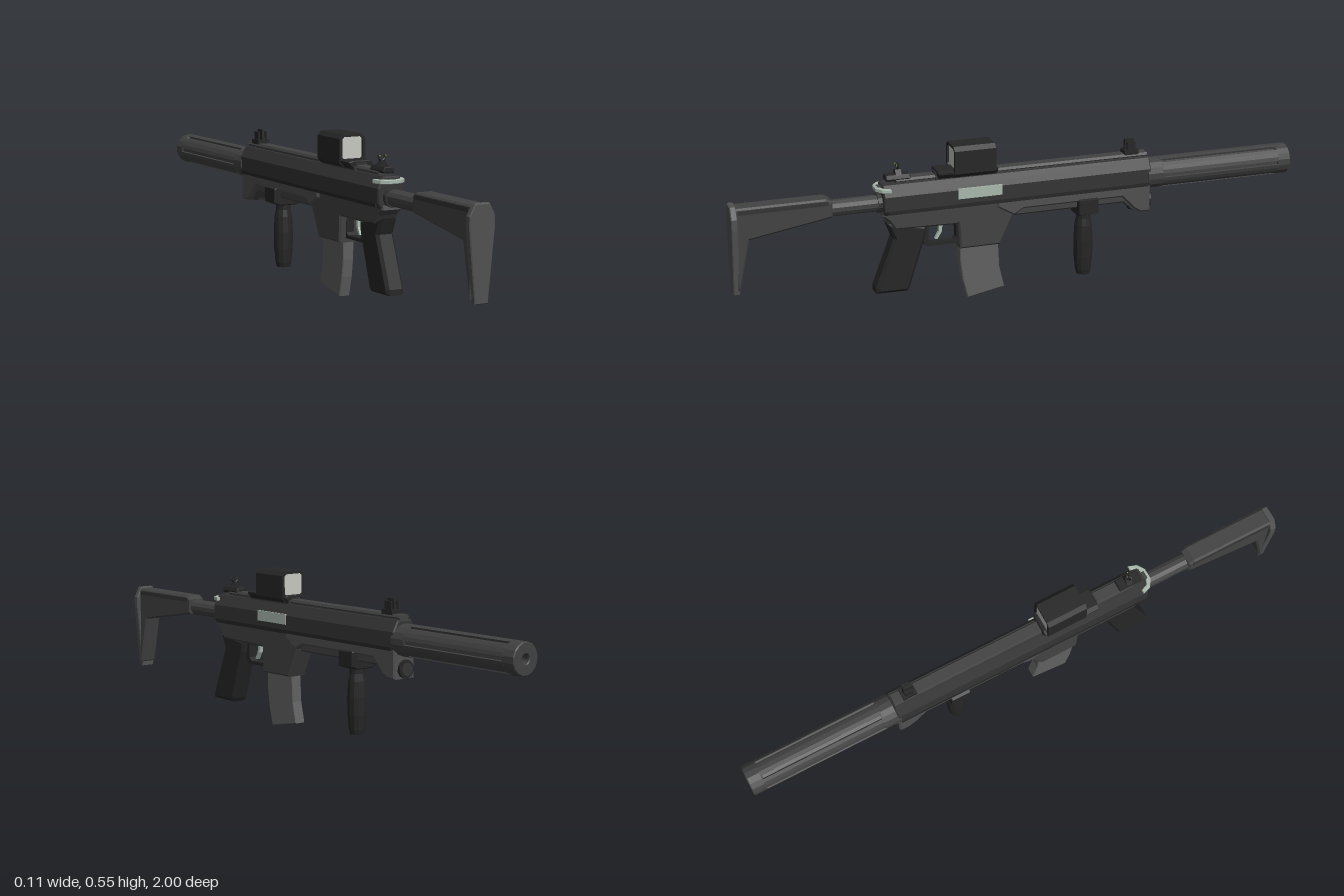
import * as THREE from 'three';

const mats = {};
const mat = (color) => (mats[color] ??= new THREE.MeshStandardMaterial({ color, flatShading: true, side: THREE.DoubleSide }));
const BLACK = 0x262626, DARK = 0x343434, MID = 0x424242, GREY = 0x505050, MAG = 0x606060, STEEL = 0xa9b8ad, LENS = 0xc6c8c0;

export function createModel() {
  const root = new THREE.Group();

  const add = (name, geo, color, parent = root) => {
    const m = new THREE.Mesh(geo, mat(color));
    m.name = name;
    parent.add(m);
    return m;
  };
  const shapeOf = (pts) => new THREE.Shape(pts.map(([a, b]) => new THREE.Vector2(a, b)));
  const extrude = (shape, depth, bevel) => new THREE.ExtrudeGeometry(shape, {
    depth: depth - 2 * bevel, bevelEnabled: bevel > 0, bevelSize: bevel,
    bevelThickness: bevel, bevelOffset: -bevel, bevelSegments: 1,
  }).translate(0, 0, bevel);
  // side outline [z, y], given a symmetric width across x
  const profile = (name, pts, half, bevel, color, holes = []) => {
    const s = shapeOf(pts);
    holes.forEach((h) => s.holes.push(shapeOf(h)));
    return add(name, extrude(s, half * 2, bevel).translate(0, 0, -half).rotateY(-Math.PI / 2), color);
  };
  // right half of a cross-section [x, y], mirrored and run from z0 to z1
  const section = (name, halfPts, z0, z1, color, bevel = 0) => {
    const pts = [...halfPts, ...halfPts.slice().reverse().map(([x, y]) => [-x, y])];
    return add(name, extrude(shapeOf(pts), z1 - z0, bevel).translate(0, 0, z0), color);
  };
  const box = (name, x, y, z, w, h, d, color) => add(name, new THREE.BoxGeometry(w, h, d).translate(x, y, z), color);
  const rod = (name, r, y, z0, z1, color, n = 12) => add(name,
    new THREE.CylinderGeometry(r, r, z1 - z0, n).rotateY(Math.PI / n).rotateX(Math.PI / 2).translate(0, y, (z0 + z1) / 2), color);

  // long barrel cover: two plain ends with a bore in front, fluted middle
  const ring = (r, n, hole) => {
    const s = new THREE.Shape();
    for (let i = 0; i < n; i++) {
      const a = ((i + 0.5) / n) * Math.PI * 2;
      s[i ? 'lineTo' : 'moveTo'](Math.cos(a) * r, Math.sin(a) * r);
    }
    if (hole) s.holes.push(new THREE.Path().absarc(0, 0, hole, 0, Math.PI * 2, true));
    return s;
  };
  const R = 0.054, CY = 0.377;
  add('barrelCoverFront', extrude(ring(R, 16, 0.016), 0.05, 0.003).translate(0, CY, -1), MID);
  add('barrelCoverRear', extrude(ring(R, 16), 0.06, 0).translate(0, CY, -0.515), MID);
  const flutes = [];
  for (let i = 0; i < 6; i++) {
    const a = (i * Math.PI) / 3;
    for (const [d, r] of [[-0.38, R], [-0.14, R], [-0.12, R - 0.007], [0.12, R - 0.007], [0.14, R], [0.38, R]])
      flutes.push([Math.cos(a + d) * r, Math.sin(a + d) * r]);
  }
  add('barrelCoverFlutes', extrude(shapeOf(flutes), 0.445, 0).translate(0, CY, -0.955), MID);
  rod('bore', 0.016, CY, -0.96, -0.95, BLACK);

  // upper body and top rail
  section('upperBody', [[0.04, 0.34], [0.05, 0.355], [0.05, 0.405], [0.03, 0.442]], -0.465, 0.49, DARK, 0.004);
  section('topRail', [[0.018, 0.438], [0.018, 0.446], [0.023, 0.45], [0.018, 0.458]], -0.46, 0.44, MID);
  for (const s of [1, -1]) box('sideRidge', s * 0.049, 0.35, 0.01, 0.006, 0.012, 0.93, BLACK);
  box('ejectionPort', 0.047, 0.392, 0.157, 0.012, 0.036, 0.155, STEEL);

  // charging handle
  add('chargingHandle', extrude((() => {
    const s = new THREE.Shape();
    s.moveTo(-0.056, 0.465);
    s.lineTo(-0.045, 0.495);
    s.lineTo(-0.02, 0.512);
    s.lineTo(0.02, 0.512);
    s.lineTo(0.045, 0.495);
    s.lineTo(0.056, 0.465);
    s.lineTo(0.042, 0.465);
    s.lineTo(0.034, 0.485);
    s.lineTo(0.015, 0.496);
    s.lineTo(-0.015, 0.496);
    s.lineTo(-0.034, 0.485);
    s.lineTo(-0.042, 0.465);
    return s;
  })(), 0.014, 0.002).rotateX(Math.PI / 2).translate(0, 0.434, 0), STEEL);
  box('chargingHandleStem', 0, 0.428, 0.488, 0.028, 0.014, 0.03, MID);

  // lower body with magazine well
  profile('lowerBody', [[0.49, 0.35], [0.495, 0.335], [0.47, 0.315], [0.45, 0.285], [0.23, 0.28], [0.225, 0.19],
    [0.082, 0.19], [0.035, 0.29], [0.035, 0.35]], 0.038, 0.006, MID);
  profile('triggerGuard', [[0.36, 0.285], [0.345, 0.212], [0.335, 0.205], [0.222, 0.205], [0.222, 0.285]], 0.014, 0, BLACK,
    [[[0.33, 0.275], [0.232, 0.275], [0.232, 0.225], [0.242, 0.216], [0.318, 0.216], [0.33, 0.228]]]);
  profile('trigger', [[0.315, 0.28], [0.29, 0.28], [0.292, 0.25], [0.305, 0.226], [0.297, 0.224], [0.281, 0.25], [0.278, 0.28]].reverse(),
    0.007, 0, STEEL);
  profile('magazine', [[0.222, 0.2], [0.22, 0.13], [0.212, 0.07], [0.195, 0.002], [0.063, 0.027], [0.08, 0.1], [0.085, 0.2]],
    0.02, 0.003, MAG);
  profile('pistolGrip', [[0.475, 0.305], [0.455, 0.25], [0.52, 0.08], [0.52, 0.06], [0.41, 0.058], [0.402, 0.07],
    [0.345, 0.245], [0.34, 0.285]], 0.033, 0.01, BLACK);

  // handguard: side panels over a narrower underside, with a front lamp
  profile('handguard', [[0.092, 0.35], [0.092, 0.325], [0.035, 0.292], [0, 0.312], [-0.36, 0.312], [-0.405, 0.265],
    [-0.43, 0.25], [-0.465, 0.25], [-0.465, 0.35]], 0.046, 0.006, GREY);
  profile('handguardUnderside', [[0.04, 0.32], [0.03, 0.285], [-0.37, 0.285], [-0.41, 0.25], [-0.42, 0.32]], 0.03, 0.006, MID);
  rod('lamp', 0.031, 0.282, -0.476, -0.4, BLACK, 12);
  rod('lampFace', 0.022, 0.282, -0.479, -0.47, DARK, 12);

  // vertical foregrip and its clamp
  section('foregripClamp', [[0.03, 0.258], [0.055, 0.268], [0.055, 0.318], [0.045, 0.322]], -0.27, -0.198, BLACK, 0.003);
  add('foregrip', new THREE.LatheGeometry([[0, 0.034], [0.024, 0.034], [0.028, 0.05], [0.033, 0.1], [0.034, 0.16],
    [0.031, 0.215], [0.026, 0.24], [0.026, 0.27]].map(([r, y]) => new THREE.Vector2(r, y)), 12).translate(0, 0, -0.234), BLACK);

  // stock: tube, body and butt plate
  rod('stockTube', 0.028, 0.375, 0.48, 0.72, MID, 12);
  rod('stockCollar', 0.033, 0.375, 0.485, 0.505, DARK, 12);
  profile('stockBody', [[0.66, 0.405], [0.68, 0.417], [0.985, 0.417], [0.985, 0.13], [0.975, 0.14], [0.94, 0.305],
    [0.71, 0.343], [0.66, 0.352]], 0.032, 0.006, MID);
  for (const s of [1, -1]) box('stockRib', s * 0.031, 0.402, 0.825, 0.006, 0.014, 0.3, DARK);
  section('buttPlate', [[0.024, 0.118], [0.036, 0.24], [0.046, 0.345], [0.046, 0.385], [0.026, 0.423]], 0.978, 1, GREY, 0.003);

  // boxy optic with a window at both ends
  section('opticBase', [[0.03, 0.436], [0.03, 0.452], [0.02, 0.456], [0.02, 0.464]], 0.09, 0.305, DARK);
  section('opticFoot', [[0.03, 0.446], [0.045, 0.462], [0.045, 0.468], [0.03, 0.472]], 0.09, 0.3, BLACK, 0.003);
  const frame = (h, y0, y1, c) => [[h - c, y0], [h, y0 + c], [h, y1 - c], [h - c, y1]];
  const mirror = (p) => [...p, ...p.slice().reverse().map(([x, y]) => [-x, y])];
  const hood = shapeOf(mirror(frame(0.05, 0.447, 0.554, 0.014)));
  hood.holes.push(shapeOf(mirror(frame(0.039, 0.471, 0.545, 0.007))));
  add('opticHood', extrude(hood, 0.145, 0).translate(0, 0, 0.1), BLACK);
  for (const z of [0.106, 0.236]) box('opticLens', 0, 0.508, z, 0.078, 0.074, 0.004, LENS);

  // rear sight with forked notch and marker dots
  section('rearSightBase', [[0.018, 0.45], [0.022, 0.458], [0.016, 0.471]], 0.39, 0.475, BLACK, 0.003);
  section('rearSightPost', [[0.02, 0.468], [0.006, 0.487]], 0.42, 0.44, BLACK);
  const fork = new THREE.CatmullRomCurve3([[-0.012, 0.506], [-0.01, 0.494], [0, 0.487], [0.01, 0.494], [0.012, 0.506]]
    .map(([x, y]) => new THREE.Vector3(x, y, 0.43)));
  add('rearSightFork', new THREE.TubeGeometry(fork, 12, 0.004, 6), BLACK);
  for (const s of [1, -1]) box('sightDot', s * 0.012, 0.503, 0.435, 0.004, 0.004, 0.003, 0x7f9a3c);

  // front sight
  box('frontSightBase', 0, 0.463, -0.402, 0.044, 0.016, 0.05, BLACK);
  profile('frontSightPost', [[-0.38, 0.465], [-0.384, 0.507], [-0.416, 0.507], [-0.42, 0.465]].reverse(), 0.005, 0, BLACK);
  for (const s of [1, -1]) box('frontSightEar', s * 0.014, 0.483, -0.402, 0.007, 0.032, 0.03, BLACK);

  return root;
}
